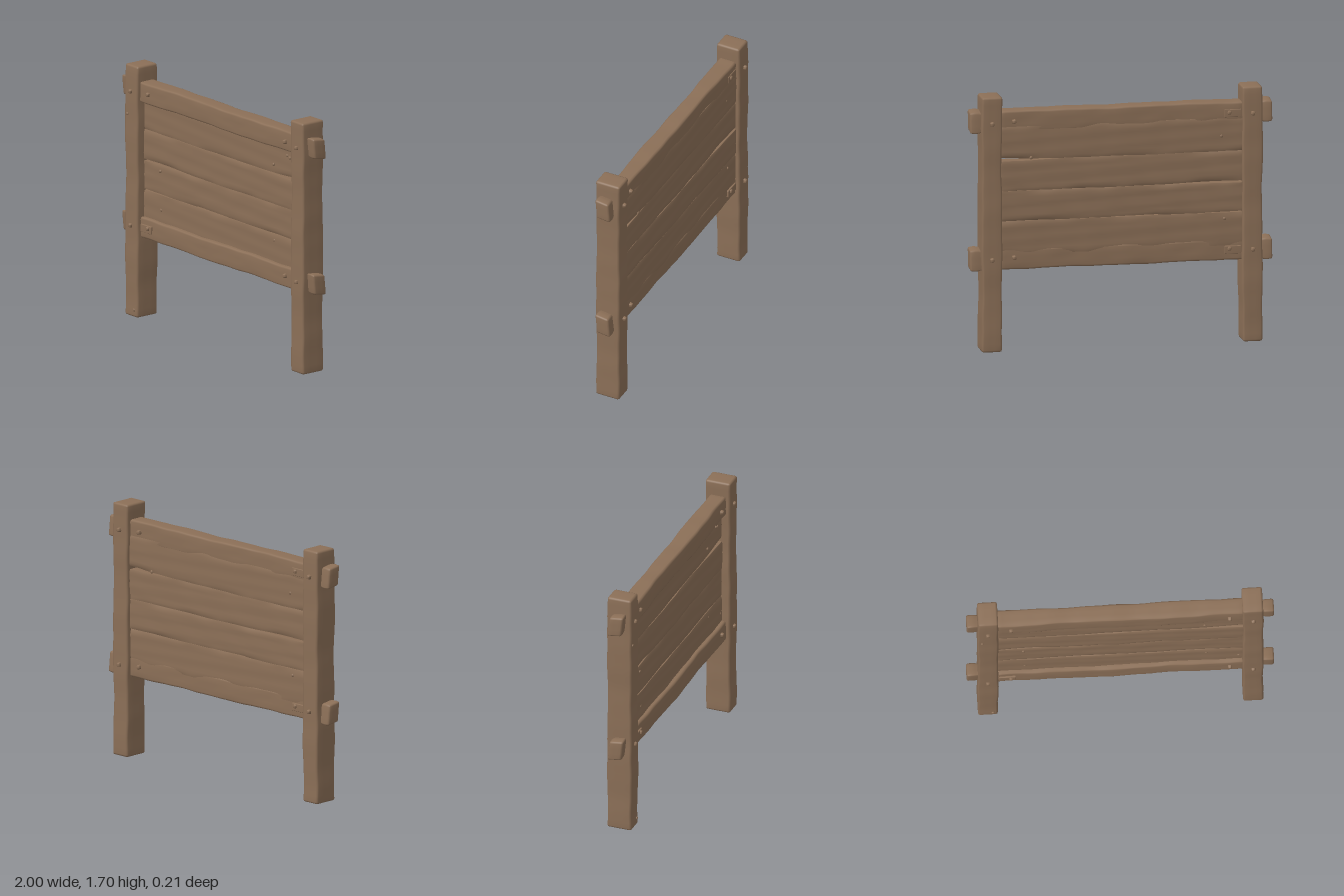
import * as THREE from 'three';
import { mergeVertices } from 'three/addons/utils/BufferGeometryUtils.js';

const wood = new THREE.MeshStandardMaterial({ color: 0x8b6f57 });
wood.name = 'weathered wood';

// smooth repeatable wobble, about -1 to 1
const wave = (t, s) =>
  (Math.sin(t * 7.3 + s * 2.1) + Math.sin(t * 15.7 + s * 4.7) * 0.7 + Math.sin(t * 31 + s * 1.3) * 0.4) / 2.1;

// box with softened edges, subdivided so that a rule can bend it
function timber(size, segs, r, rule) {
  const geo = new THREE.BoxGeometry(2, 2, 2, ...segs);
  const p = geo.attributes.position;
  const v = new THREE.Vector3();
  for (let i = 0; i < p.count; i++) {
    v.fromBufferAttribute(p, i);
    const inner = new THREE.Vector3();
    const out = new THREE.Vector3();
    ['x', 'y', 'z'].forEach((a, k) => {
      const h = size[k] / 2;
      if (Math.abs(v[a]) > 0.999) {
        inner[a] = Math.sign(v[a]) * (h - r);
        out[a] = Math.sign(v[a]);
      } else {
        // inner grid lines spread across the flat part of the face
        inner[a] = v[a] / (1 - 2 / segs[k] || 1) * (h - r);
      }
    });
    v.copy(inner).addScaledVector(out.normalize(), r);
    if (rule) rule(v);
    p.setXYZ(i, v.x, v.y, v.z);
  }
  geo.deleteAttribute('uv');
  geo.deleteAttribute('normal');
  const merged = mergeVertices(geo, 1e-5);
  merged.computeVertexNormals();
  return merged;
}

function add(group, name, geo, x, y, z) {
  const m = new THREE.Mesh(geo, wood);
  m.name = name;
  m.position.set(x, y, z);
  group.add(m);
  return m;
}

export function createModel() {
  const g = new THREE.Group();
  g.name = 'woodenSign';

  // upright posts
  for (const s of [1, -1]) {
    const geo = timber([0.132, 1.695, 0.17], [5, 44, 5], 0.014, (v) => {
      const t = v.y;
      v.x += 0.004 * wave(t, s) * Math.sign(v.x) + 0.002 * wave(t * 0.6, s + 5);
      v.z += 0.004 * wave(t, s + 3) * Math.sign(v.z);
    });
    add(g, s > 0 ? 'leftPost' : 'rightPost', geo, s * 0.862, 0.8475, 0.003);
  }

  // horizontal rails
  [['topRail', 1.525], ['bottomRail', 0.61]].forEach(([name, y], k) => {
    const geo = timber([1.62, 0.138, 0.115], [60, 5, 5], 0.014, (v) => {
      const t = v.x;
      v.y += 0.004 * wave(t, k + 1 + Math.sign(v.y)) * Math.sign(v.y);
      v.z += 0.005 * wave(t * 0.8, k + 6) * Math.sign(v.z) + 0.002 * wave(t + v.y * 14, k);
    });
    add(g, name, geo, 0, y, 0.004);

    // rail ends sticking out past the posts, slightly skewed
    for (const s of [1, -1]) {
      const end = timber([0.16, 0.134, 0.092], [8, 5, 5], 0.012, (v) => {
        const out = s * v.x;
        const swell = 0.9 + 0.14 * Math.max(0, Math.min(1, (out + 0.01) / 0.04));
        v.y *= out > 0.06 ? 1 : swell;
        v.z *= swell;
        v.z += v.y * 0.1;
        v.y += v.z * 0.14;
      });
      add(g, name + 'End', end, s * 0.92, y, 0.004);
    }
  });

  // planks: lower edge, upper edge, depth shift; split lines open at the ends
  const split = {
    low: () => 0.64,
    a: (x) => 0.862 + 0.002 * wave(x, 1),
    b: (x) => 1.062 + 0.002 * wave(x, 2),
    c: (x) => 1.268 + 0.003 * wave(x, 3),
    top: () => 1.49,
  };
  const gaps = {
    a: (x) => 0.001 + 0.008 * Math.max(0, (-0.5 - x) / 0.3) + (x > -0.24 && x < 0.06 ? 0.004 : 0),
    b: (x) => 0.012 * Math.max(0, Math.min(1, (-0.25 - x) / 0.4)),
    c: (x) => 0.024 * Math.max(0, (x - 0.4) / 0.4),
  };
  const order = ['low', 'a', 'b', 'c', 'top'];
  for (let i = 0; i < 4; i++) {
    const lo = order[i];
    const hi = order[i + 1];
    const geo = timber([1.62, 2, 0.085], [64, 12, 4], 0.008, (v) => {
      const t = (v.y + 1) / 2;
      const y0 = split[lo](v.x) + (gaps[lo] ? gaps[lo](v.x) * 0.7 : 0);
      const y1 = split[hi](v.x) - (gaps[hi] ? gaps[hi](v.x) * 0.3 : 0);
      v.y = y0 + t * (y1 - y0);
      // shallow grain along the length
      const side = Math.sign(v.z);
      v.z += 0.0022 * wave(v.x * 0.5 + v.y * 9, i + side) + 0.002 * wave(v.x, i * 3 + side);
      // worn hollows where planks meet
      if (t < 0.01 || t > 0.99) v.z -= side * 0.004 * (1 + wave(v.x, i + 7));
    });
    add(g, 'plank', geo, 0, 0, -0.012 + [0.002, -0.001, 0.002, -0.002][i]);
  }

  // wooden pegs through posts and rails, both faces
  const peg = timber([0.028, 0.03, 0.03], [3, 3, 3], 0.008, (v) => {
    if (v.z > 0) {
      v.x *= 0.85;
      v.y *= 0.85;
    }
  });
  for (const s of [1, -1]) {
    for (const f of [1, -1]) {
      for (const y of [1.52, 0.615]) {
        const pegs = [
          add(g, 'postPeg', peg, s * 0.863, y, f * 0.089 + 0.001),
          add(g, 'railPeg', peg, s * 0.712, y + 0.005, f * 0.062 + 0.004),
        ];
        for (const m of pegs) {
          m.rotation.set(f < 0 ? Math.PI : 0, 0, s * 0.2);
        }
      }
    }
  }

  // small cleats on the rails next to the posts
  const cleat = timber([0.11, 0.052, 0.016], [3, 3, 3], 0.004);
  add(g, 'frontCleat', cleat, -0.735, 0.612, 0.06);
  for (const y of [0.612, 1.52]) add(g, 'backCleat', cleat, -0.735, y, -0.054);

  // nail heads and knots scattered on planks and posts
  const knob = new THREE.SphereGeometry(0.011, 8, 6);
  const spots = [
    [0.55, 1.33, 0.031], [0.72, 1.41, 0.031], [0.69, 1.42, 0.031], [0.56, 0.82, 0.031], [-0.62, 0.76, 0.031],
    [0.77, 0.74, 0.031], [-0.63, 1.02, 0.031], [-0.9, 1.36, 0.089], [-0.83, 0.05, 0.089],
    [0.6, 1.28, -0.055], [-0.68, 0.82, -0.055], [-0.66, 1.37, -0.055],
  ];
  for (const [x, y, z] of spots) add(g, 'knot', knob, x, y, z).scale.z = 0.6;

  return g;
}
